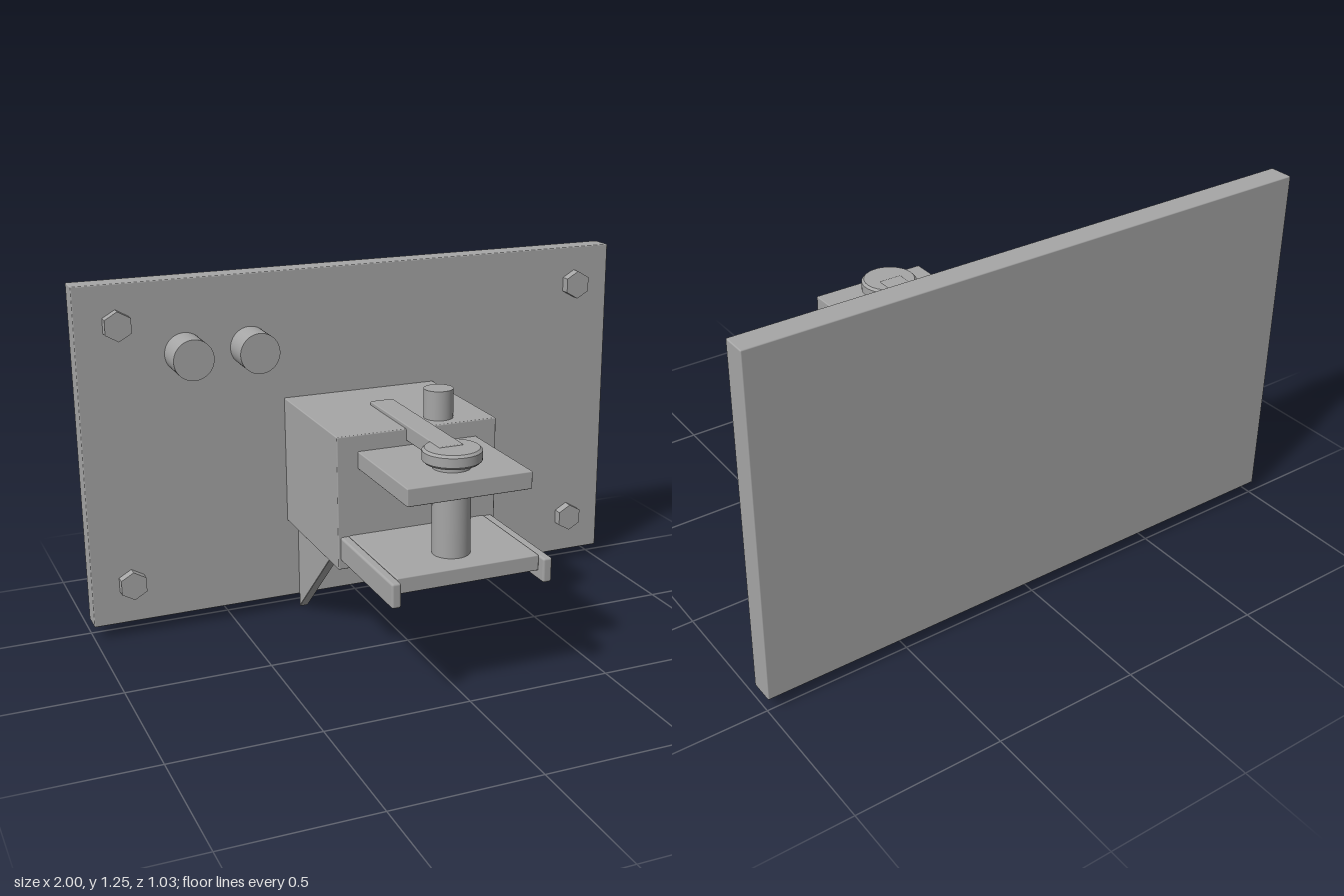
import * as THREE from 'three';
import { RoundedBoxGeometry } from 'three/addons/geometries/RoundedBoxGeometry.js';

export function createModel() {
  const model = new THREE.Group();
  model.name = 'wallMountedPress';
  const grey = new THREE.MeshStandardMaterial({ color: 0xa6a6a6 });
  grey.name = 'steel grey';

  const add = (name, geometry, x = 0, y = 0, z = 0) => {
    const mesh = new THREE.Mesh(geometry, grey);
    mesh.name = name;
    mesh.position.set(x, y, z);
    model.add(mesh);
    return mesh;
  };
  // Softened box given by its min and max corners
  const block = (name, [x0, y0, z0], [x1, y1, z1], r = 0.004) =>
    add(name, new RoundedBoxGeometry(x1 - x0, y1 - y0, z1 - z0, 2, r),
      (x0 + x1) / 2, (y0 + y1) / 2, (z0 + z1) / 2);
  // Upright cylinder, slightly chamfered at both ends
  const upright = (name, r, y0, y1, x, z) => {
    const c = 0.003;
    const side = new THREE.CylinderGeometry(r, r, y1 - y0, 48);
    return add(name, side, x, (y0 + y1) / 2, z);
  };
  // Cylinder or prism standing out from the wall plate
  const stud = (name, r, length, sides, x, y) =>
    add(name, new THREE.CylinderGeometry(r, r, length, sides).rotateX(Math.PI / 2),
      x, y, -0.43 + length / 2);

  // Wall plate and housing
  block('wallPlate', [-1, 0.05, -0.512], [1, 1.25, -0.429]);
  block('housing', [-0.285, 0.343, -0.429], [0.285, 0.8, 0.085]);

  // Corner bolts
  for (const x of [-0.86, 0.86]) {
    for (const y of [0.195, 1.113]) {
      const bolt = stud('hexBolt', 0.051, 0.035, 6, x, y);
      bolt.geometry = bolt.geometry.toNonIndexed();
      bolt.geometry.computeVertexNormals();
    }
  }

  // Two push buttons
  for (const x of [-0.632, -0.402]) stud('pushButton', 0.07, 0.115, 48, x, 0.996);

  // Triangular braces below the housing
  const profile = new THREE.Shape([
    new THREE.Vector2(-0.429, 0), new THREE.Vector2(-0.06, 0.345), new THREE.Vector2(-0.429, 0.345),
  ]);
  for (const x of [-0.23, 0.23]) {
    const brace = new THREE.ExtrudeGeometry(profile, {
      depth: 0.022, bevelThickness: 0.005, bevelSize: 0.004, bevelOffset: -0.004, bevelSegments: 2,
    });
    brace.translate(0, 0, -0.011).rotateY(-Math.PI / 2);
    add('brace', brace, x);
  }

  // Lower tray with side rails
  block('lowerTray', [-0.245, 0.405, 0.06], [0.245, 0.458, 0.482]);
  for (const s of [-1, 1]) {
    const x = s * 0.26;
    block('trayRail', [x - 0.016, 0.373, 0.06], [x + 0.016, 0.456, 0.514], 0.008);
  }

  // Upper plate, spindle and its cap
  block('upperPlate', [-0.213, 0.685, 0.06], [0.213, 0.744, 0.485]);
  upright('spindle', 0.062, 0.39, 0.765, 0, 0.345);
  const c = 0.008, r = 0.096, h = 0.047;
  const cap = new THREE.LatheGeometry([
    [0, 0], [r - c, 0], [r - c, 0], [r, c], [r, c], [r, h - c], [r, h - c], [r - c, h], [r - c, h], [0, h],
  ].map(([a, b]) => new THREE.Vector2(a, b)), 48);
  add('spindleCap', cap, 0, 0.763, 0.348);

  // Lever arm and knob on the housing
  block('leverArm', [-0.042, 0.76, -0.226], [0.042, 0.813, 0.343]);
  upright('topKnob', 0.05, 0.79, 0.9, 0.112, 0);

  return model;
}
